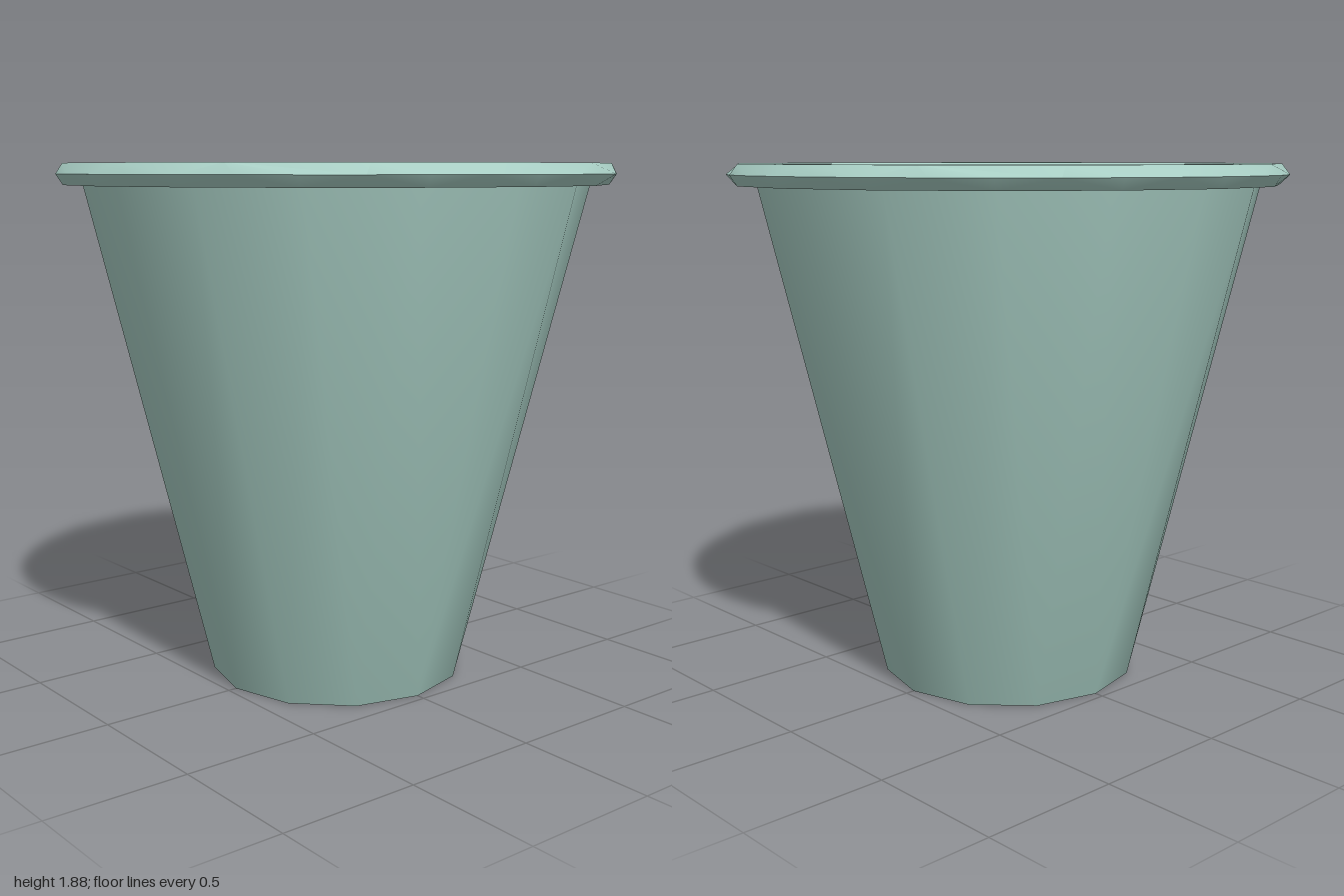
import * as THREE from 'three';
import { toCreasedNormals } from 'three/addons/utils/BufferGeometryUtils.js';

const material = new THREE.MeshStandardMaterial({ color: 0xa9cfc5 });

// Skin through rings [radius, y, sides, phase in turns]; neighbouring rings may differ in side count.
function loft(rings) {
  const positions = [], indices = [], starts = [];
  for (const [r, y, n, phase = 0] of rings) {
    starts.push(positions.length / 3);
    for (let i = 0; i < n; i++) {
      const a = (i / n + phase) * Math.PI * 2;
      positions.push(r * Math.sin(a), y, r * Math.cos(a));
    }
  }
  for (let k = 0; k + 1 < rings.length; k++) {
    const [, , na, pa = 0] = rings[k], [, , nb, pb = 0] = rings[k + 1];
    const A = (i) => starts[k] + (i % na), B = (j) => starts[k + 1] + (j % nb);
    let i = 0, j = 0;
    while (i < na || j < nb) {
      const stepA = j >= nb || (i < na && (i + 1) / na + pa <= (j + 1) / nb + pb);
      if (stepA) {
        if (na > 1) indices.push(A(i), A(i + 1), B(j));
        i++;
      } else {
        if (nb > 1) indices.push(A(i), B(j + 1), B(j));
        j++;
      }
    }
  }
  const geometry = new THREE.BufferGeometry();
  geometry.setAttribute('position', new THREE.Float32BufferAttribute(positions, 3));
  geometry.setIndex(indices);
  geometry.computeVertexNormals();
  return geometry;
}

function addPart(group, name, geometry) {
  const mesh = new THREE.Mesh(geometry, material);
  mesh.name = name;
  group.add(mesh);
}

export function createModel() {
  const cup = new THREE.Group();
  cup.name = 'cup';

  // Tapered outside, shaded smoothly into the base
  addPart(cup, 'outerWall', loft([
    [0, 0, 1],
    [0.468, 0, 12],
    [0.908, 1.81, 16],
  ]));

  // Faceted rolled rim: underside, bulge, flat top, inner bevel
  addPart(cup, 'rim', toCreasedNormals(loft([
    [0.905, 1.81, 16],
    [0.975, 1.81, 16],
    [1.0, 1.848, 32],
    [0.98, 1.885, 14, 0.016],
    [0.845, 1.885, 13, 0.02],
    [0.79, 1.86, 20, 0.01],
  ]), 0.6));

  // Hollow inside, shaded smoothly into the floor
  addPart(cup, 'innerWall', loft([
    [0.79, 1.86, 20, 0.01],
    [0.39, 0.1, 12],
    [0, 0.1, 1],
  ]));

  return cup;
}
